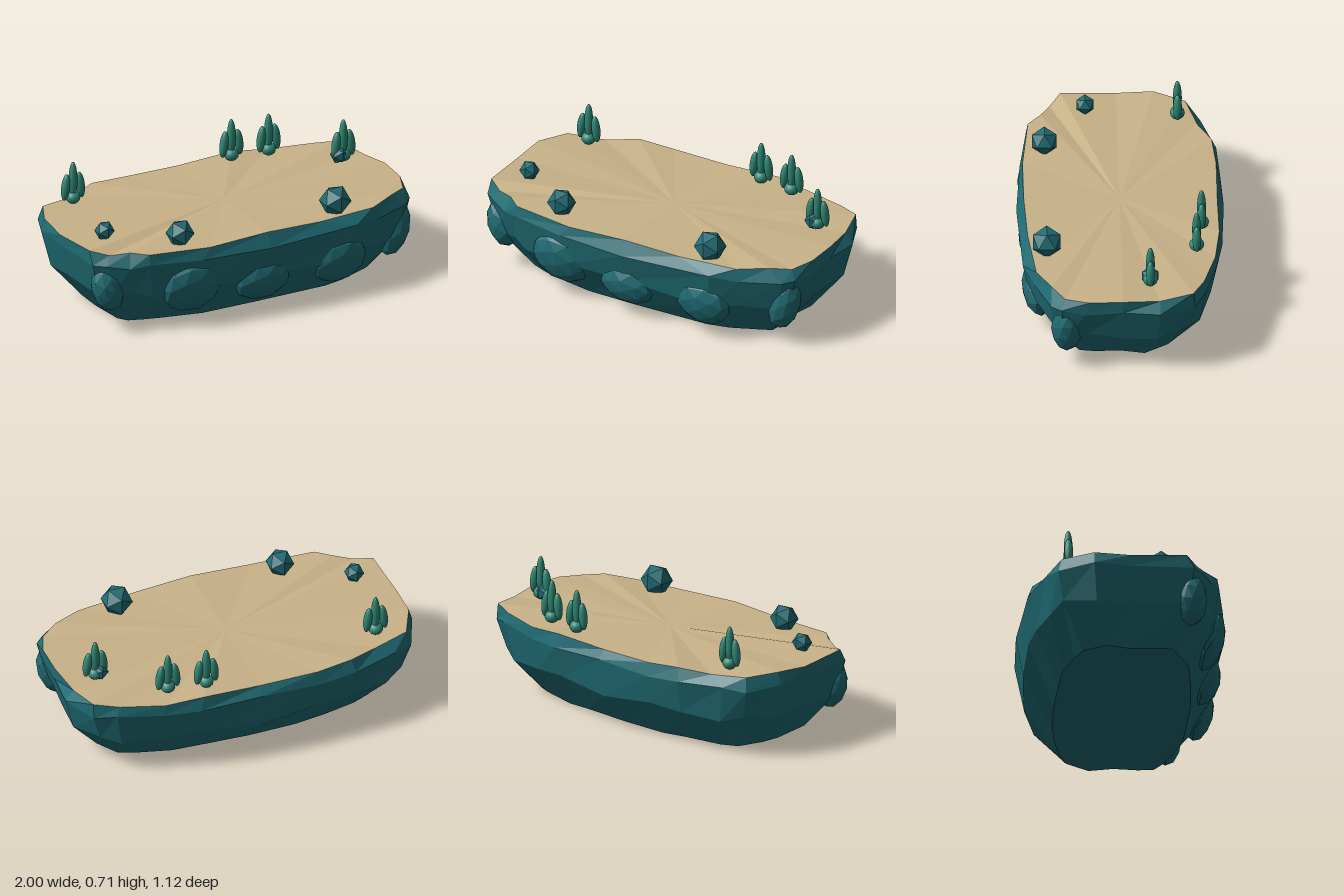
import * as THREE from 'three';

const mat = (name, color, flatShading) => {
  const m = new THREE.MeshStandardMaterial({ color, flatShading });
  m.name = name;
  return m;
};

// Shore outline [x, z], counter-clockwise seen from above, starting front left
const SAND = [[-0.97, 0.3], [-0.88, 0.36], [-0.78, 0.41], [-0.7, 0.48], [-0.35, 0.515], [0, 0.515],
  [0.33, 0.5], [0.67, 0.46], [0.83, 0.38], [0.93, 0.31], [0.98, 0.18], [0.985, 0],
  [0.955, -0.2], [0.91, -0.38], [0.78, -0.44], [0.54, -0.505], [0.33, -0.53], [0, -0.525],
  [-0.33, -0.525], [-0.53, -0.505], [-0.7, -0.43], [-0.9, -0.37], [-0.98, -0.2], [-0.99, 0]];
// Widest ring of the cliff, matching the shore point by point
const RIM = [[-0.97, 0.34], [-0.91, 0.385], [-0.8, 0.445], [-0.7, 0.49], [-0.4, 0.53], [0, 0.555],
  [0.54, 0.53], [0.69, 0.47], [0.91, 0.385], [0.96, 0.33], [0.975, 0.2], [0.985, 0],
  [1, -0.2], [0.91, -0.39], [0.8, -0.45], [0.55, -0.51], [0.35, -0.545], [0, -0.56],
  [-0.34, -0.545], [-0.55, -0.53], [-0.8, -0.45], [-0.92, -0.39], [-1, -0.2], [-0.985, 0]];

const wobble = (i, k) => Math.sin(i * 2.3 + k * 1.7);

function surface(triangles) {
  const g = new THREE.BufferGeometry();
  g.setAttribute('position', new THREE.Float32BufferAttribute(triangles.flat(2), 3));
  g.computeVertexNormals();
  return g;
}

export function createModel() {
  const island = new THREE.Group();
  island.name = 'island';
  const rock = mat('teal rock', 0x1f6b73, true);
  const sand = mat('sand', 0xc8b288, true);
  const leaf = mat('leaf green', 0x2f8875, false);

  const add = (parent, name, geometry, material, pos = [0, 0, 0], scale = [1, 1, 1], rot = [0, 0, 0]) => {
    const m = new THREE.Mesh(geometry, material);
    m.name = name;
    m.position.set(...pos);
    m.scale.set(...scale);
    m.rotation.set(...rot);
    parent.add(m);
    return m;
  };

  // Cliff cross-sections from the base up to the shore
  const rings = [
    RIM.map(([x, z], i) => [x * 0.79, 0.006 + 0.006 * wobble(i, 1), z * 0.66 + 0.012]),
    RIM.map(([x, z], i) => [x * 0.95, 0.21 + 0.02 * wobble(i, 2), z * (0.93 + 0.015 * wobble(i, 3))]),
    RIM.map(([x, z], i) => [x, 0.395 + 0.012 * wobble(i, 4), z]),
    SAND.map(([x, z], i) => [x, 0.46 + 0.01 * wobble(i, 5) + (Math.abs(x) > 0.9 ? 0.006 : 0), z]),
  ];
  const n = RIM.length;
  const wall = [], beach = [];
  for (let i = 0; i < n; i++) {
    const j = (i + 1) % n;
    for (let r = 0; r < 3; r++) {
      const [a, b, c, d] = [rings[r][i], rings[r][j], rings[r + 1][j], rings[r + 1][i]];
      wall.push([a, b, c], [a, c, d]);
    }
    wall.push([[0, 0.002, 0.012], rings[0][j], rings[0][i]]);
    beach.push([[0, 0.46, 0], rings[3][i], rings[3][j]]);
  }
  add(island, 'cliff', surface(wall), rock);
  add(island, 'beach', surface(beach), sand);

  // Boulders bulging from the front of the cliff: position, radii, rotation
  const boulder = new THREE.IcosahedronGeometry(1, 1);
  [
    [[-0.43, 0.22, 0.455], [0.18, 0.16, 0.08], [0.25, 0, -0.1]],
    [[-0.01, 0.18, 0.46], [0.17, 0.125, 0.08], [0.25, 0, 0]],
    [[0.46, 0.195, 0.455], [0.165, 0.14, 0.075], [0.25, 0, 0.1]],
    [[0.875, 0.235, 0.3], [0.09, 0.16, 0.085], [0, 0, -0.25]],
    [[-0.875, 0.25, 0.33], [0.09, 0.14, 0.085], [0, 0, 0.25]],
  ].forEach((b) => add(island, 'cliffBoulder', boulder, rock, ...b));

  // Loose stones on the sand: x, y, z, radius
  const stone = new THREE.IcosahedronGeometry(1, 0);
  [[0.47, 0.513, 0.4, 0.088], [-0.47, 0.513, 0.395, 0.078],
    [-0.81, 0.51, 0.17, 0.055], [0.785, 0.506, -0.15, 0.051]]
    .forEach(([x, y, z, r]) => add(island, 'stone', stone, rock, [x, y, z], [r, r, r]));

  // Shrubs: a round foot, a tall middle leaf and two side leaves
  const ball = new THREE.SphereGeometry(1, 16, 12);
  [[-0.74, -0.325], [0.28, -0.435], [0.49, -0.405], [0.81, -0.15]].forEach(([x, z]) => {
    const shrub = new THREE.Group();
    shrub.name = 'shrub';
    shrub.position.set(x, 0.46, z);
    add(shrub, 'foot', ball, leaf, [0, 0.04, 0], [0.04, 0.035, 0.04]);
    add(shrub, 'middleLeaf', ball, leaf, [0, 0.138, 0], [0.024, 0.108, 0.024]);
    for (const s of [-1, 1]) {
      add(shrub, 'sideLeaf', ball, leaf, [s * 0.045, 0.105, 0], [0.024, 0.076, 0.024], [0, 0, s * 0.12]);
    }
    island.add(shrub);
  });
  return island;
}
